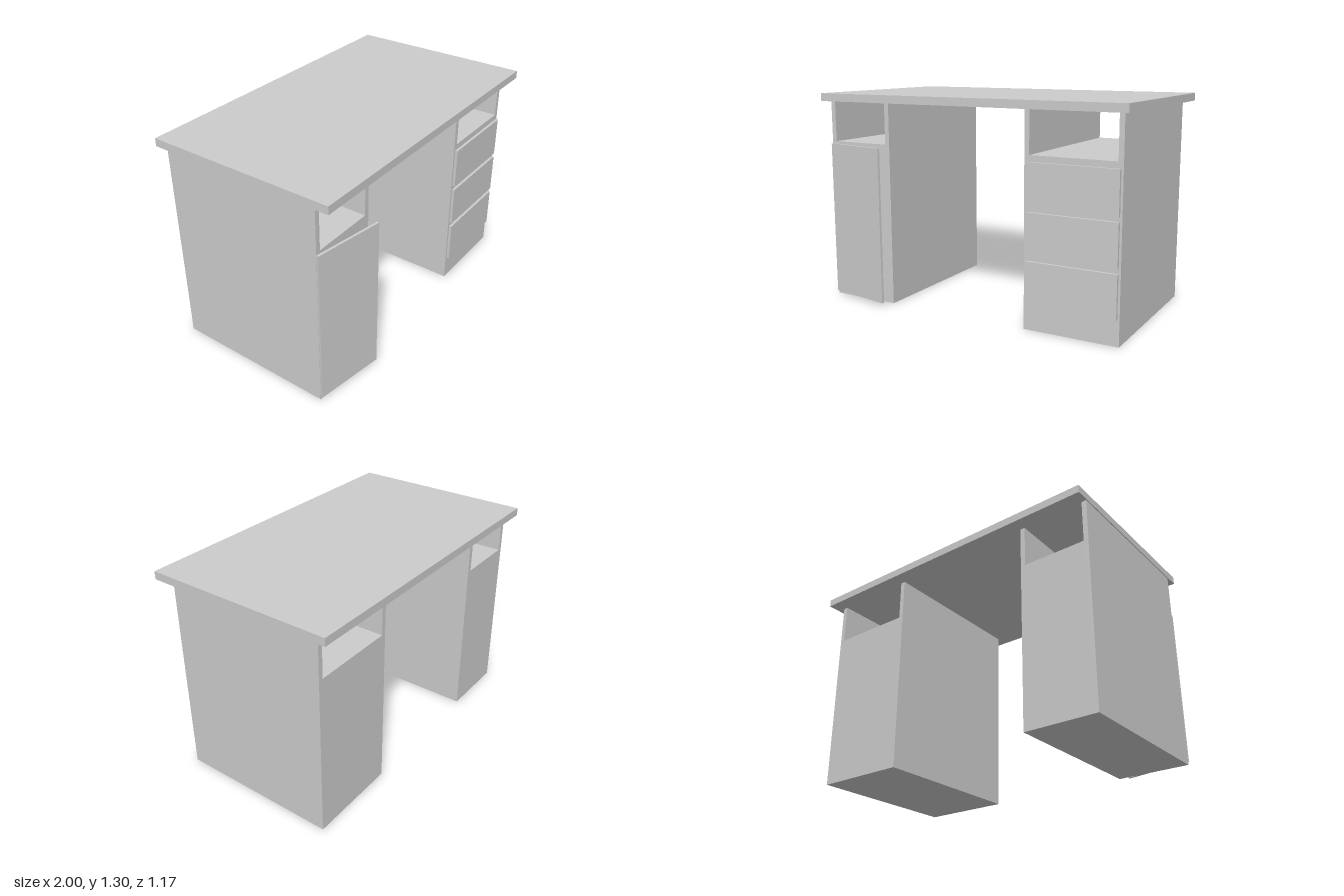
import * as THREE from 'three';

const material = new THREE.MeshStandardMaterial({ color: 0xcccccc, flatShading: true });
const HALF_DEPTH = 0.5, TOP_Y = 1.255, SHELF_Y = 1.0, WALL = 0.03;

// Box given by its minimum and maximum corners
function box(name, [x0, y0, z0], [x1, y1, z1]) {
  const mesh = new THREE.Mesh(new THREE.BoxGeometry(x1 - x0, y1 - y0, z1 - z0), material);
  mesh.position.set((x0 + x1) / 2, (y0 + y1) / 2, (z0 + z1) / 2);
  mesh.name = name;
  return mesh;
}

// Solid cabinet with an open shelf slot under the tabletop (U-shaped section)
function pedestal(name, x0, x1) {
  const outline = [
    [x0, 0], [x1, 0], [x1, TOP_Y], [x1 - WALL, TOP_Y], [x1 - WALL, SHELF_Y],
    [x0 + WALL, SHELF_Y], [x0 + WALL, TOP_Y], [x0, TOP_Y],
  ].map(([x, y]) => new THREE.Vector2(x, y));
  const geometry = new THREE.ExtrudeGeometry(new THREE.Shape(outline), {
    depth: 2 * HALF_DEPTH, bevelEnabled: false,
  });
  const mesh = new THREE.Mesh(geometry, material);
  mesh.position.z = -HALF_DEPTH;
  mesh.name = name;
  return mesh;
}

export function createModel() {
  const desk = new THREE.Group();
  desk.name = 'desk';

  desk.add(box('tabletop', [-1, TOP_Y, -0.584], [1, 1.303, 0.584]));
  desk.add(pedestal('doorPedestal', -0.995, -0.55));
  desk.add(pedestal('drawerPedestal', 0.375, 0.95));

  // Three drawer fronts
  for (let i = 0; i < 3; i++) {
    const y = 0.153 + i * 0.279;
    desk.add(box(`drawerFront${i + 1}`, [0.389, y, HALF_DEPTH], [0.937, y + 0.252, 0.517]));
  }

  // Door standing slightly ajar, turned about its outer edge
  const hinge = new THREE.Group();
  hinge.name = 'doorHinge';
  hinge.position.set(-0.993, 0, 0.498);
  hinge.rotation.y = -Math.atan2(0.073, 0.423);
  hinge.add(box('door', [0, 0.02, 0], [0.429, 0.985, 0.015]));
  desk.add(hinge);

  return desk;
}
